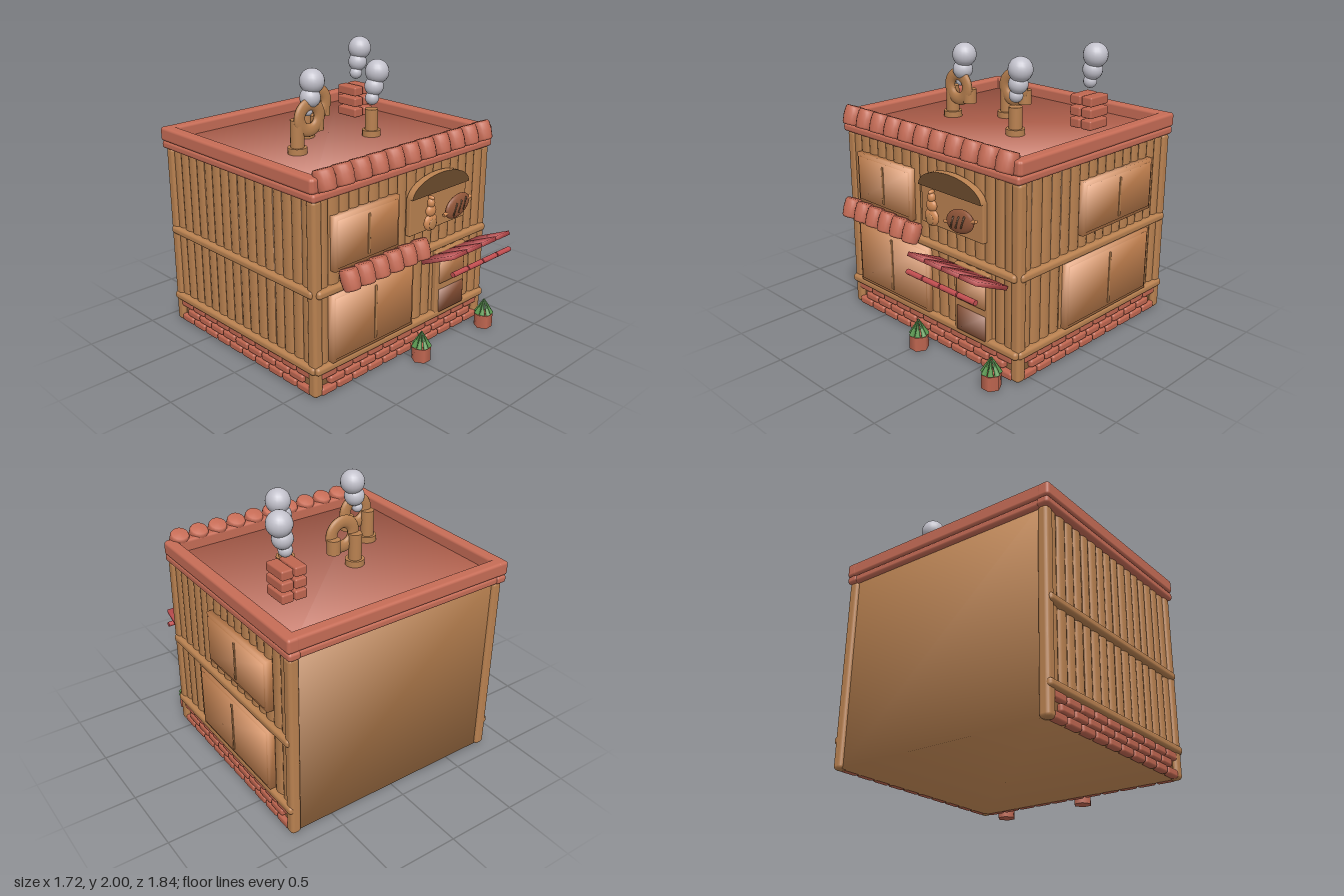
import * as THREE from 'three';
import { RoundedBoxGeometry } from 'three/addons/geometries/RoundedBoxGeometry.js';

const mat = (name, color) => {
  const m = new THREE.MeshStandardMaterial({ color });
  m.name = name;
  return m;
};

// Box whose normals are shared at the corners, for soft shading across each face
const softBox = (w, h, d) => {
  const geo = new THREE.BoxGeometry(w, h, d), p = geo.attributes.position, n = new THREE.Vector3();
  for (let i = 0; i < p.count; i++) {
    n.set(Math.sign(p.getX(i)), Math.sign(p.getY(i)), Math.sign(p.getZ(i))).normalize();
    geo.attributes.normal.setXYZ(i, n.x, n.y, n.z);
  }
  return geo;
};

export function createModel() {
  const wood = mat('wood', 0xb98150), pane = mat('pane wood', 0xd08a55), tile = mat('roof clay', 0xc66c56);
  const brick = mat('brick', 0xbf6650), red = mat('awning red', 0xc24e50), green = mat('leaf green', 0x5a9850);
  const smoke = mat('smoke', 0xc3c2cc), dark = mat('dark wood', 0x6c4b2d), meat = mat('roast', 0x93573a);
  const model = new THREE.Group();
  model.name = 'woodenShop';

  const add = (parent, name, geo, m, x = 0, y = 0, z = 0) => {
    const mesh = new THREE.Mesh(geo, m);
    mesh.name = name;
    mesh.position.set(x, y, z);
    parent.add(mesh);
    return mesh;
  };
  const box = (parent, name, m, w, h, d, x, y, z, r = 0) =>
    add(parent, name, r ? new RoundedBoxGeometry(w, h, d, 2, r) : softBox(w, h, d), m, x, y, z);
  const cyl = (parent, name, m, r, h, x, y, z, sides = 16) =>
    add(parent, name, new THREE.CylinderGeometry(r, r, h, sides), m, x, y, z);
  const group = (name, parent = model) => {
    const g = new THREE.Group();
    g.name = name;
    parent.add(g);
    return g;
  };

  // Core of the building and its corner posts
  box(model, 'body', wood, 1.6, 1.37, 1.47, -0.005, 0.695, -0.145);
  for (const x of [-0.8, 0.79]) for (const z of [0.585, -0.865])
    box(model, 'cornerPost', wood, 0.075, 1.33, 0.075, x, 0.67, z, 0.025);

  // Shuttered window, given by its left, right, bottom and top edges on a wall
  const shutter = (wall, x0, x1, y0, y1) => {
    const g = group('window', wall), w = x1 - x0, h = y1 - y0, cx = (x0 + x1) / 2, cy = (y0 + y1) / 2;
    box(g, 'windowFrame', pane, w, h, 0.05, cx, cy, 0.03);
    box(g, 'windowShutters', pane, w - 0.04, h - 0.05, 0.03, cx, cy, 0.05);
    box(g, 'windowLatch', wood, 0.02, h - 0.09, 0.012, cx, cy, 0.064, 0.004);
  };

  // Wall cladding: bricks, beams and rounded planks
  const cladding = (name, len) => {
    const wall = group(name);
    for (let row = 0; row < 3; row++) {
      const n = Math.round(len / 0.142) - (row === 1 ? 1 : 0);
      for (let i = 0; i < n; i++)
        box(wall, 'brick', brick, 0.134, 0.056, 0.055, (i - (n - 1) / 2) * 0.142, 0.034 + row * 0.059, 0.008, 0.018);
    }
    for (const [y, extra] of [[0.203, 0.1], [0.727, 0.07]])
      box(wall, 'beam', wood, len + extra, 0.056, 0.07, 0, y, 0.018, 0.022);
    const count = Math.round(len / 0.088), step = len / count;
    for (let i = 0; i < count; i++) {
      for (const [y0, y1] of [[0.22, 0.71], [0.74, 1.35]]) {
        const p = cyl(wall, 'plank', wood, step * (0.46 + 0.06 * ((i * 3) % 4) / 3), y1 - y0, (i - (count - 1) / 2) * step, (y0 + y1) / 2, 0, 12);
        p.scale.z = 0.5;
      }
    }
    return wall;
  };
  const front = cladding('frontWall', 1.56);
  front.position.set(-0.005, 0, 0.595);
  shutter(front, -0.685, -0.12, 0.85, 1.21);
  shutter(front, -0.705, 0.035, 0.23, 0.7);
  const right = cladding('rightWall', 1.42);
  right.position.set(0.79, 0, -0.14);
  right.rotation.y = Math.PI / 2;
  shutter(right, -0.185, 0.535, 0.845, 1.21);
  shutter(right, -0.335, 0.535, 0.235, 0.7);
  const left = cladding('leftWall', 1.42);
  left.position.set(-0.8, 0, -0.14);
  left.rotation.y = -Math.PI / 2;

  // Door with two panels
  const door = group('door');
  box(door, 'doorFrame', wood, 0.31, 0.48, 0.05, 0.43, 0.445, 0.62, 0.01);
  box(door, 'upperDoorPanel', pane, 0.255, 0.2, 0.02, 0.437, 0.54, 0.645);
  box(door, 'lowerDoorPanel', meat, 0.255, 0.17, 0.02, 0.437, 0.305, 0.645);

  // Sign board with arched hood
  const sign = group('sign');
  box(sign, 'signBoard', wood, 0.57, 0.27, 0.04, 0.265, 1.02, 0.63, 0.008);
  const arch = new THREE.Shape();
  arch.absellipse(0, 0, 0.287, 0.13, 0, Math.PI, false);
  arch.closePath();
  add(sign, 'signHood', new THREE.ExtrudeGeometry(arch, { depth: 0.05, bevelEnabled: false, curveSegments: 24 }), [dark, wood], 0.265, 1.145, 0.622);
  const ball = new THREE.SphereGeometry(1, 20, 14);
  const blob = (parent, name, m, x, y, z, rx, ry = rx, rz = rx) => {
    const b = add(parent, name, ball, m, x, y, z);
    b.scale.set(rx, ry, rz);
    return b;
  };
  for (const [y, rx, ry] of [[0.965, 0.062, 0.06], [1.045, 0.045, 0.042], [1.1, 0.028, 0.035], [1.135, 0.014, 0.015]])
    blob(sign, 'gourd', pane, 0.132, y, 0.695, rx, ry, 0.026);
  blob(sign, 'gourdSpot', wood, 0.132, 0.955, 0.716, 0.035, 0.038, 0.01);
  const roast = group('roast', sign);
  roast.position.set(0.4, 1.012, 0.7);
  roast.rotation.z = 0.25;
  blob(roast, 'roastMeat', meat, 0, 0, 0, 0.125, 0.08, 0.028);
  cyl(roast, 'skewer', pane, 0.013, 0.29, 0, 0, 0, 10).rotation.z = Math.PI / 2;
  for (let i = -1; i <= 1; i++)
    box(roast, 'roastStripe', dark, 0.009, 0.09, 0.008, i * 0.05, 0, 0.025).rotation.z = -0.6;

  // Roof slab and double rim
  const roof = group('roof');
  box(roof, 'roofFloor', tile, 1.6, 0.06, 1.47, -0.01, 1.37, -0.145);
  for (const [y, h, o] of [[1.357, 0.056, 0], [1.432, 0.098, 0.006]]) {
    for (const s of [-1, 1])
      box(roof, 'sideRim', tile, 0.085, h, 1.55, -0.01 + s * (0.804 + o), y, -0.145, 0.02);
    box(roof, 'backRim', tile, 1.69, h, 0.085, -0.01, y, -0.87 - o, 0.02);
    box(roof, 'frontRim', tile, 1.69, h, 0.085, -0.01, y, 0.6 - o, 0.02);
  }

  // Barrel roof tiles in two rows
  const barrel = new THREE.LatheGeometry([[0, -0.068], [0.054, -0.068], [0.063, -0.056], [0.069, 0], [0.066, 0.05],
    [0.058, 0.066], [0, 0.068]].map(p => new THREE.Vector2(...p)), 16);
  const tileRow = (name, n, x0, step, y, z, s) => {
    const row = group(name);
    for (let i = 0; i < n; i++) {
      const t = add(row, 'barrelTile', barrel, tile, x0 + i * step, y, z);
      t.rotation.x = -0.36;
      t.scale.set(s, 1, s);
    }
  };
  tileRow('upperTiles', 11, -0.748, 0.1475, 1.455, 0.625, 1);
  tileRow('lowerTiles', 6, -0.655, 0.128, 0.83, 0.745, 0.9);

  // Red awning over the door with a front rod
  const awning = group('awning');
  for (let i = 0; i < 4; i++) {
    const x = 0.2 + i * 0.157;
    box(awning, 'awningPanel', red, 0.147, 0.028, 0.29, x, 0.713, 0.768).rotation.x = -0.43;
    cyl(awning, 'awningRod', red, 0.018, 0.147, x, 0.652, 0.905, 12).rotation.z = Math.PI / 2;
  }

  // Plants in six-sided pots
  for (const x of [0.025, 0.713]) {
    const plant = group('plant');
    plant.position.set(x, 0, 0.745);
    cyl(plant, 'pot', brick, 0.066, 0.1, 0, 0.05, 0, 6).rotation.y = Math.PI / 6;
    for (let i = 0; i < 7; i++) {
      const arm = group('leafArm', plant);
      arm.position.y = 0.22;
      arm.rotation.y = i * Math.PI * 2 / 7;
      const leaf = add(arm, 'leaf', new THREE.ConeGeometry(0.02, 0.13, 6), green, 0.027, -0.06, 0);
      leaf.rotation.z = 0.42;
    }
  }

  // Roof pipes: one straight, two with a ring-shaped hook and a short outlet
  const pipe = (x, z, top) => {
    const g = group('pipe');
    g.position.set(x, 0, z);
    cyl(g, 'pipeFlange', wood, 0.065, 0.045, 0, 1.42, 0);
    cyl(g, 'pipeStem', wood, 0.046, top - 1.4, 0, (top + 1.4) / 2, 0);
    return g;
  };
  pipe(0.24, 0.04, 1.59);
  for (const [x, z] of [[-0.41, 0], [-0.118, -0.25]]) {
    const g = pipe(x, z, 1.625);
    add(g, 'pipeHook', new THREE.TorusGeometry(0.087, 0.045, 12, 32), wood, 0.087, 1.63, 0.024).scale.z = 0.5;
    cyl(g, 'pipeOutlet', wood, 0.046, 0.1, 0.174, 1.575, 0);
  }

  // Brick chimney
  const chimney = group('chimney');
  for (let row = 0; row < 3; row++) for (const x of [0.46, 0.557])
    box(chimney, 'chimneyBrick', brick, 0.086, 0.066, 0.185, x, 1.455 + row * 0.08, -0.393, 0.012);

  // Smoke puffs, as x, y, z and radius
  for (const puffs of [
    [[-0.32, 1.67, 0, 0.037], [-0.298, 1.755, 0.005, 0.07], [-0.28, 1.86, 0.005, 0.084]],
    [[0.243, 1.665, 0.04, 0.048], [0.262, 1.745, 0.04, 0.067], [0.285, 1.845, 0.045, 0.084]],
    [[0.512, 1.735, -0.39, 0.046], [0.53, 1.815, -0.39, 0.068], [0.55, 1.915, -0.39, 0.084]],
  ]) {
    const g = group('smoke');
    for (const [x, y, z, r] of puffs) blob(g, 'smokePuff', smoke, x, y, z, r);
  }
  return model;
}
